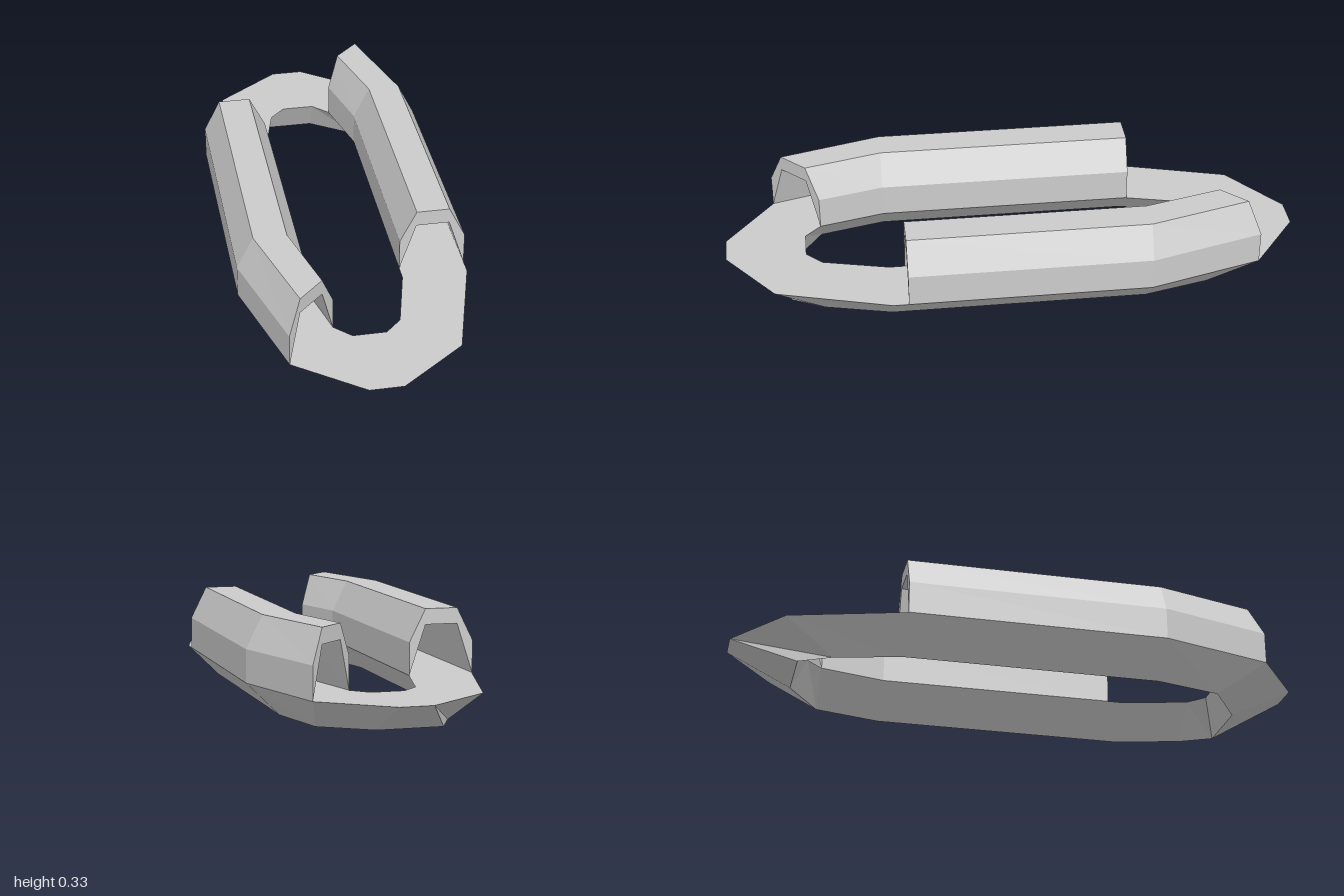
import * as THREE from 'three';

const material = new THREE.MeshStandardMaterial({ color: 0xcccccc, flatShading: true });

// Adds a four-cornered face, corners counter-clockwise from outside
function quad(out, a, b, c, d) {
  for (const p of [a, b, c, a, c, d]) out.push(...p);
}

// Skins closed cross-sections; optionally joins the last back to the first
function loft(out, sections, closed) {
  const n = sections.length;
  for (let s = 0; s < (closed ? n : n - 1); s++) {
    const A = sections[s], B = sections[(s + 1) % n];
    for (let i = 0; i < A.length; i++) {
      const j = (i + 1) % A.length;
      quad(out, A[i], A[j], B[j], B[i]);
    }
  }
}

function makeMesh(name, positions) {
  const geometry = new THREE.BufferGeometry();
  geometry.setAttribute('position', new THREE.Float32BufferAttribute(positions, 3));
  geometry.computeVertexNormals();
  const mesh = new THREE.Mesh(geometry, material);
  mesh.name = name;
  return mesh;
}

const RIM = 0.111;

// Ring base: triangular section given as plan points [outer, inner, bottom];
// the second half is the first turned by 180 degrees
function ringBase() {
  const half = [
    [[0.39, -0.44], [0.167, -0.44], [0.278, -0.44]],
    [[0.39, 0.44], [0.167, 0.44], [0.278, 0.44]],
    [[0.278, 0.833], [0.111, 0.667], [0.222, 0.667]],
    [[0.056, 1], [0.056, 0.722], [0.167, 0.778]],
    [[-0.056, 1], [-0.056, 0.722], [-0.056, 0.778]],
    [[-0.278, 0.833], [-0.111, 0.667], [-0.222, 0.667]],
  ];
  const sections = [];
  for (const k of [1, -1]) {
    for (const station of half) {
      sections.push(station.map(([x, z], i) => [k * x, i === 2 ? 0 : RIM, k * z]));
    }
  }
  const out = [];
  loft(out, sections, true);
  return makeMesh('ringBase', out);
}

// Hollow arched cover; profile is [share of the way from outer to inner rim, height]
function archCover(name, openEnd) {
  const profile = [
    [0, RIM], [0, 0.222], [0.25, 0.333], [0.75, 0.333],
    [1, 0.222], [1, RIM], [0.75, 0.28], [0.25, 0.28],
  ];
  const stations = [
    [[0.278, -0.833], [0.111, -0.667]],
    [[0.39, -0.44], [0.167, -0.44]],
    [[0.39, openEnd], [0.167, openEnd]],
  ];
  const sections = stations.map(([o, i]) => profile.map(([t, y]) =>
    [o[0] + (i[0] - o[0]) * t, y, o[1] + (i[1] - o[1]) * t]));
  const out = [];
  loft(out, sections, false);
  // Arch-shaped rims at both ends
  const first = sections[0], last = sections[2];
  for (const [a, b, c, d] of [[0, 1, 2, 7], [2, 3, 6, 7], [3, 4, 5, 6]]) {
    quad(out, last[a], last[b], last[c], last[d]);
    quad(out, first[d], first[c], first[b], first[a]);
  }
  return makeMesh(name, out);
}

export function createModel() {
  const group = new THREE.Group();
  group.name = 'ringWithCoveredSides';
  const right = archCover('rightCover', 0.445);
  right.rotation.y = Math.PI;
  group.add(ringBase(), archCover('leftCover', 0.387), right);
  return group;
}
